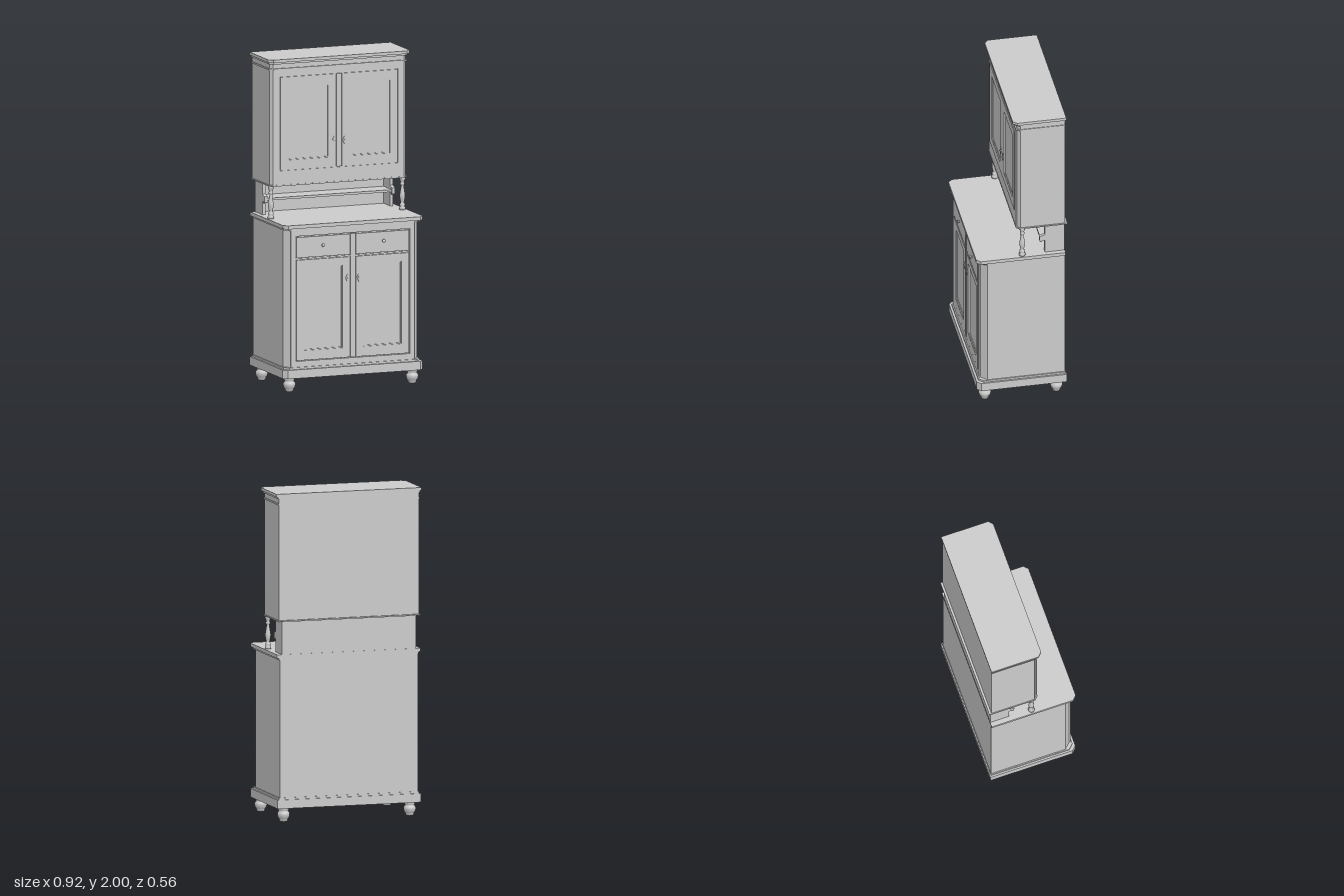
import * as THREE from 'three';

const mat = new THREE.MeshStandardMaterial({ color: 0xcccccc, side: THREE.DoubleSide });

export function createModel() {
  const model = new THREE.Group();

  const add = (name, geo, x = 0, y = 0, z = 0) => {
    const m = new THREE.Mesh(geo, mat);
    m.name = name;
    m.position.set(x, y, z);
    model.add(m);
    return m;
  };

  // Box given by its limits
  const box = (name, x0, x1, y0, y1, z0, z1) =>
    add(name, new THREE.BoxGeometry(x1 - x0, y1 - y0, z1 - z0), (x0 + x1) / 2, (y0 + y1) / 2, (z0 + z1) / 2);

  // Horizontal slab with chamfered front corners; w is the half width
  const slab = (name, w, z0, z1, c, y0, y1) => {
    const s = new THREE.Shape([[-w, z0], [-w, z1 - c], [c - w, z1], [w - c, z1], [w, z1 - c], [w, z0]]
      .map(([x, z]) => new THREE.Vector2(x, -z)));
    const geo = new THREE.ExtrudeGeometry(s, { depth: y1 - y0, bevelEnabled: false });
    add(name, geo.rotateX(-Math.PI / 2), 0, y0, 0);
  };

  const rect = (P, x0, x1, y0, y1) => new P([[x0, y0], [x1, y0], [x1, y1], [x0, y1]]
    .map(([x, y]) => new THREE.Vector2(x, y)));

  // Flat frame with a rectangular opening; each limit list is [x0, x1, y0, y1]
  const frame = (name, outer, inner, z, depth) => {
    const s = rect(THREE.Shape, ...outer);
    s.holes.push(rect(THREE.Path, ...inner));
    add(name, new THREE.ExtrudeGeometry(s, { depth, bevelEnabled: false }), 0, 0, z);
  };

  const lathe = (pts, seg = 20) =>
    new THREE.LatheGeometry(pts.map(([r, y]) => new THREE.Vector2(r, y)), seg);

  // Panelled door: frame, moulding strip around the opening, recessed panel
  const door = (name, outer, inner, z) => {
    const [a, b, c, d] = inner, t = 0.006;
    frame(name + 'Frame', outer, inner, z, 0.012);
    frame(name + 'Moulding', inner, [a + t, b - t, c + t, d - t], z, 0.007);
    box(name + 'Panel', a, b, c, d, z - 0.002, z + 0.002);
  };
  const flip = (side, [a, b, c, d]) => side > 0 ? [a, b, c, d] : [-b, -a, c, d];

  // Small diamond key plate with a key stub
  const keyPlate = (x, y, z) => {
    const s = new THREE.Shape([[0, -0.026], [0.013, 0], [0, 0.026], [-0.013, 0]]
      .map(([u, v]) => new THREE.Vector2(u, v)));
    add('keyPlate', new THREE.ExtrudeGeometry(s, { depth: 0.003, bevelEnabled: false }), x, y, z);
    add('key', new THREE.CylinderGeometry(0.004, 0.004, 0.008, 10).rotateX(Math.PI / 2), x, y, z + 0.005);
  };

  // Turned feet
  const footPts = [[0, 0], [0.022, 0], [0.026, 0.012], [0.027, 0.018], [0.034, 0.026], [0.038, 0.042],
    [0.036, 0.054], [0.028, 0.062], [0.03, 0.07], [0.033, 0.074], [0.033, 0.085]];
  for (const x of [-0.4, 0.4]) for (const z of [-0.22, 0.22]) add('foot', lathe(footPts, 24), x, 0, z);

  // Lower cabinet
  slab('plinth', 0.455, -0.275, 0.275, 0.025, 0.085, 0.138);
  slab('plinthStep', 0.444, -0.268, 0.262, 0.03, 0.138, 0.15);
  slab('lowerBody', 0.437, -0.265, 0.245, 0.035, 0.15, 0.99);
  slab('lowerTopMoulding', 0.443, -0.265, 0.262, 0.025, 0.988, 1);
  slab('countertop', 0.455, -0.267, 0.278, 0.025, 1, 1.022);
  box('lowerTopRail', -0.37, 0.37, 0.95, 0.988, 0.24, 0.255);
  box('lowerBottomRail', -0.37, 0.37, 0.15, 0.186, 0.24, 0.255);
  box('lowerCentrePost', -0.016, 0.016, 0.19, 0.945, 0.24, 0.258);
  box('drawerRail', -0.37, 0.37, 0.806, 0.814, 0.24, 0.253);
  for (const s of [-1, 1]) {
    const [x0, x1] = flip(s, [0.372, 0.402, 0, 0]);
    box('lowerCornerStile', x0, x1, 0.15, 0.988, 0.24, 0.255);
    const [d0, d1] = flip(s, [0.02, 0.366, 0, 0]);
    box('drawerFront', d0, d1, 0.818, 0.943, 0.24, 0.256);
    const knob = lathe([[0.006, 0], [0.005, 0.006], [0.011, 0.01], [0.01, 0.015], [0, 0.017]], 16);
    add('drawerKnob', knob.rotateX(Math.PI / 2), s * 0.197, 0.888, 0.256);
    door('lowerDoor', flip(s, [0.02, 0.366, 0.19, 0.804]), flip(s, [0.068, 0.316, 0.25, 0.755]), 0.244);
    keyPlate(s * 0.037, 0.675, 0.256);
  }

  // Open niche: back, shelf, side brackets and turned columns
  box('nicheBack', -0.425, 0.425, 1.02, 1.225, -0.265, -0.25);
  box('nicheShelf', -0.41, 0.41, 1.112, 1.126, -0.25, -0.118);
  const bracket = new THREE.Shape([[-0.262, 1.022], [-0.145, 1.022], [-0.145, 1.105], [-0.128, 1.105],
    [-0.128, 1.095], [-0.114, 1.1], [-0.112, 1.138], [-0.132, 1.142], [-0.145, 1.15], [-0.145, 1.225], [-0.262, 1.225]]
    .map(([z, y]) => new THREE.Vector2(-z, y)));
  const columnPts = [[0, 0], [0.019, 0], [0.019, 0.012], [0.014, 0.018], [0.016, 0.026], [0.016, 0.034], [0.01, 0.042],
    [0.012, 0.05], [0.017, 0.075], [0.017, 0.09], [0.013, 0.115], [0.009, 0.14], [0.009, 0.148], [0.014, 0.154],
    [0.014, 0.162], [0.01, 0.167], [0.014, 0.178], [0.018, 0.188], [0.018, 0.203], [0, 0.203]];
  for (const s of [-1, 1]) {
    const geo = new THREE.ExtrudeGeometry(bracket, { depth: 0.02, bevelEnabled: false });
    add('nicheBracket', geo.rotateY(Math.PI / 2), s * 0.415 - 0.01, 0, 0);
    add('column', lathe(columnPts), s * 0.428, 1.022, -0.005);
  }

  // Upper cabinet
  slab('upperBase', 0.449, -0.279, 0.034, 0.02, 1.222, 1.23);
  slab('upperBody', 0.444, -0.265, 0.027, 0.018, 1.23, 1.978);
  slab('frieze', 0.448, -0.265, 0.036, 0.02, 1.932, 1.942);
  slab('corniceStep', 0.45, -0.267, 0.044, 0.022, 1.97, 1.982);
  slab('crown', 0.46, -0.27, 0.055, 0.025, 1.982, 2);
  const opening = [-0.384, 0.384, 1.316, 1.892];
  frame('upperFaceFrame', [-0.422, 0.422, 1.23, 1.932], opening, 0.024, 0.008);
  box('upperCentrePost', -0.016, 0.016, 1.32, 1.888, 0.02, 0.036);
  for (const s of [-1, 1]) {
    door('upperDoor', flip(s, [0.02, 0.38, 1.32, 1.888]), flip(s, [0.065, 0.33, 1.38, 1.826]), 0.023);
    keyPlate(s * 0.035, 1.48, 0.035);
  }

  return model;
}
